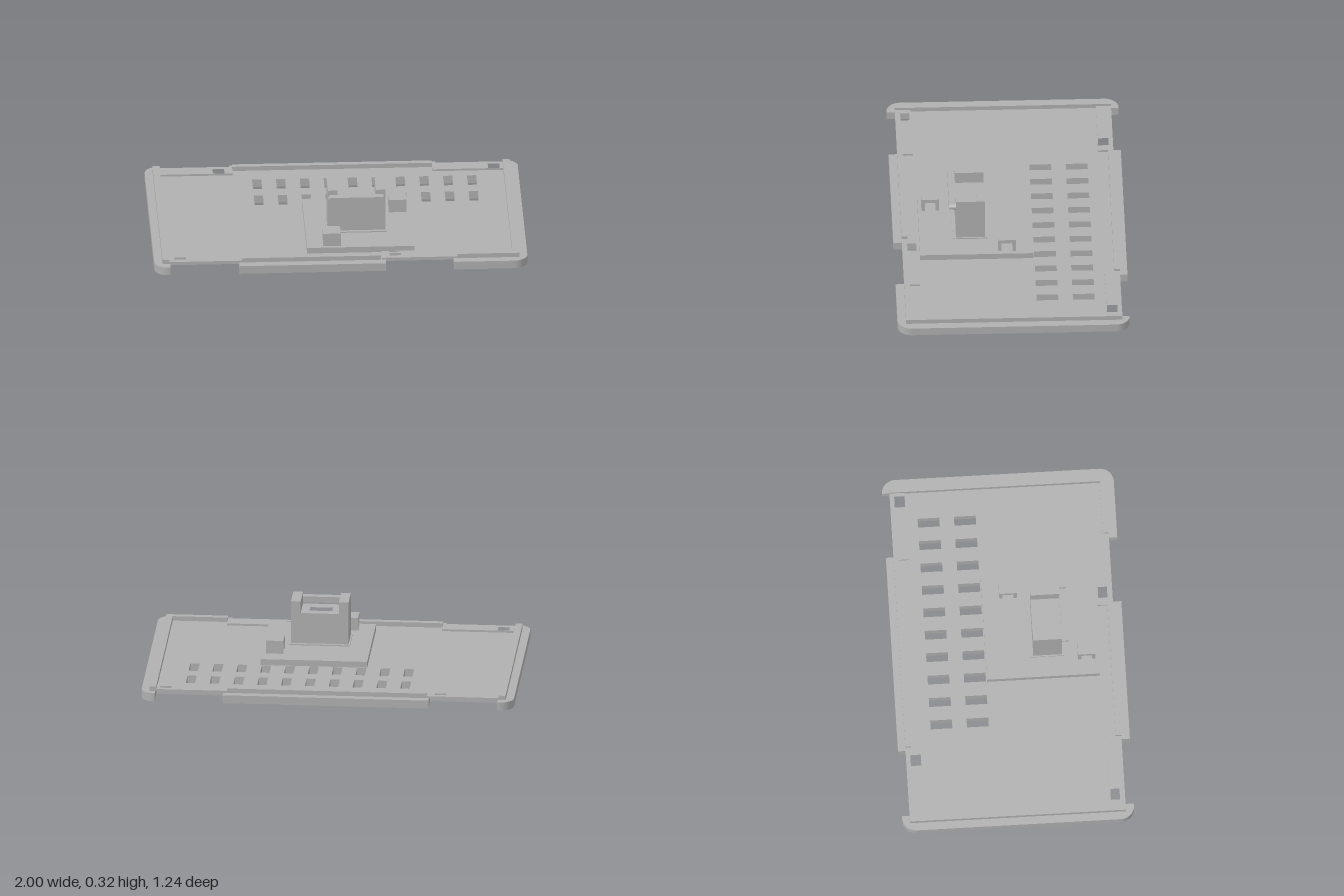
import * as THREE from 'three';

export function createModel() {
  const model = new THREE.Group();
  const grey = new THREE.MeshStandardMaterial({ color: 0xb0b0b0 });
  grey.name = 'grey plastic';

  function add(name, geometry) {
    const mesh = new THREE.Mesh(geometry, grey);
    mesh.name = name;
    model.add(mesh);
    return mesh;
  }
  // Box given by its limits on each axis
  function box(name, x0, x1, y0, y1, z0, z1) {
    const g = new THREE.BoxGeometry(x1 - x0, y1 - y0, z1 - z0);
    g.translate((x0 + x1) / 2, (y0 + y1) / 2, (z0 + z1) / 2);
    return add(name, g);
  }
  // Rectangle in plan as a path; shape y is -z
  function rect(Type, x0, x1, z0, z1) {
    const p = new Type();
    p.moveTo(x0, -z0).lineTo(x1, -z0).lineTo(x1, -z1).lineTo(x0, -z1).closePath();
    return p;
  }
  // Horizontal slab from a plan shape
  function slab(name, shape, y0, y1) {
    const g = new THREE.ExtrudeGeometry(shape, { depth: y1 - y0, bevelEnabled: false, curveSegments: 10 });
    g.rotateX(-Math.PI / 2).translate(0, y0, 0);
    return add(name, g);
  }

  // Base plate with rounded corners and edge notches
  const X = 1, Z = 0.622, R = 0.075, IN = 0.5, TOP = 0.045;
  const plate = new THREE.Shape();
  const notch = (xa, xb, y) => {
    const inner = Math.sign(y) * IN;
    plate.lineTo(xa, y).lineTo(xa, inner).lineTo(xb, inner).lineTo(xb, y);
  };
  plate.moveTo(-X + R, -Z);
  notch(-0.915, -0.545, -Z);
  notch(0.24, 0.605, -Z);
  plate.lineTo(X - R, -Z).absarc(X - R, -Z + R, R, -Math.PI / 2, 0, false);
  plate.lineTo(X, Z - R).absarc(X - R, Z - R, R, 0, Math.PI / 2, false);
  notch(0.925, 0.56, Z);
  notch(-0.545, -0.915, Z);
  plate.lineTo(-X + R, Z).absarc(-X + R, Z - R, R, Math.PI / 2, Math.PI, false);
  plate.lineTo(-X, -Z + R).absarc(-X + R, -Z + R, R, Math.PI, Math.PI * 1.5, false);

  // Two rows of vent slots
  for (let i = 0; i < 10; i++) {
    const x = -0.405 + i * 0.128;
    for (const z of [-0.44, -0.245]) plate.holes.push(rect(THREE.Path, x - 0.025, x + 0.025, z, z + 0.117));
  }
  // Pocket beneath the raised pad
  plate.holes.push(rect(THREE.Path, -0.08, 0.22, -0.1, 0.34));
  slab('basePlate', plate, 0, TOP);

  // Thin latch shelves bridging the notches, each with a square hole
  const shelves = [
    [-0.925, -0.53, -0.582, -0.5, -0.605, -0.53],
    [0.54, 0.925, -0.582, -0.5, 0.87, -0.53],
    [-0.925, -0.53, 0.493, 0.577, -0.86, 0.522],
    [0.22, 0.625, 0.493, 0.577, 0.292, 0.522],
  ];
  for (const [x0, x1, z0, z1, hx, hz] of shelves) {
    const s = rect(THREE.Shape, x0, x1, z0, z1);
    const h = Math.min(0.029, hz - z0 - 0.002, z1 - hz - 0.002);
    s.holes.push(rect(THREE.Path, hx - 0.031, hx + 0.031, hz - h, hz + h));
    slab('latchShelf', s, TOP, 0.056);
  }

  // Raised rim set in from the edge
  const RIM = 0.07;
  for (const s of [-1, 1]) {
    const a = s * 0.92, b = s * 0.957;
    box('sideRim', Math.min(a, b), Math.max(a, b), TOP, RIM, -0.582, 0.577);
  }
  box('backRim', -0.53, 0.54, TOP, RIM, -0.582, -0.552);
  box('frontRim', -0.53, 0.215, TOP, RIM, 0.546, 0.577);
  box('frontRim', 0.625, 0.92, TOP, RIM, 0.546, 0.577);

  // Raised pad, slotted below the tower
  const PAD = 0.078;
  const pad = rect(THREE.Shape, -0.177, 0.397, -0.123, 0.483);
  pad.holes.push(rect(THREE.Path, 0, 0.19, 0.15, 0.18), rect(THREE.Path, 0, 0.19, 0.23, 0.26));
  slab('raisedPad', pad, TOP, PAD);

  // Tower with a shallow pocket in its top
  box('towerFoot', -0.065, 0.26, PAD, 0.084, 0.115, 0.305);
  box('towerBody', -0.057, 0.252, PAD, 0.215, 0.132, 0.287);
  const deck = rect(THREE.Shape, -0.057, 0.252, 0.132, 0.287);
  deck.holes.push(rect(THREE.Path, 0.035, 0.157, 0.14, 0.23));
  slab('towerDeck', deck, 0.215, 0.255);
  box('pocketStep', 0.035, 0.157, 0.215, 0.235, 0.14, 0.17);

  // Side posts and the bar across the front
  box('towerPost', -0.057, -0.005, 0.255, 0.321, 0.132, 0.287);
  box('towerPost', 0.2, 0.252, 0.255, 0.321, 0.132, 0.287);
  const bar = new THREE.Shape();
  const c = 0.01, b0 = -0.055, b1 = 0.25, y0 = 0.262, y1 = 0.295;
  bar.moveTo(b0 + c, y0).lineTo(b1 - c, y0).lineTo(b1, y0 + c).lineTo(b1, y1 - c)
    .lineTo(b1 - c, y1).lineTo(b0 + c, y1).lineTo(b0, y1 - c).lineTo(b0, y0 + c).closePath();
  const barGeometry = new THREE.ExtrudeGeometry(bar, { depth: 0.038, bevelEnabled: false });
  add('crossBar', barGeometry.translate(0, 0, 0.286));

  // Arched clips, open along x
  for (const [x, z] of [[0.327, 0.017], [-0.043, 0.417]]) {
    const w = 0.047, t = 0.018;
    box('clipLeg', x - w, x + w, PAD, 0.13, z - w, z - w + t);
    box('clipLeg', x - w, x + w, PAD, 0.13, z + w - t, z + w);
    box('clipTop', x - w, x + w, 0.13, 0.151, z - w, z + w);
  }

  return model;
}
